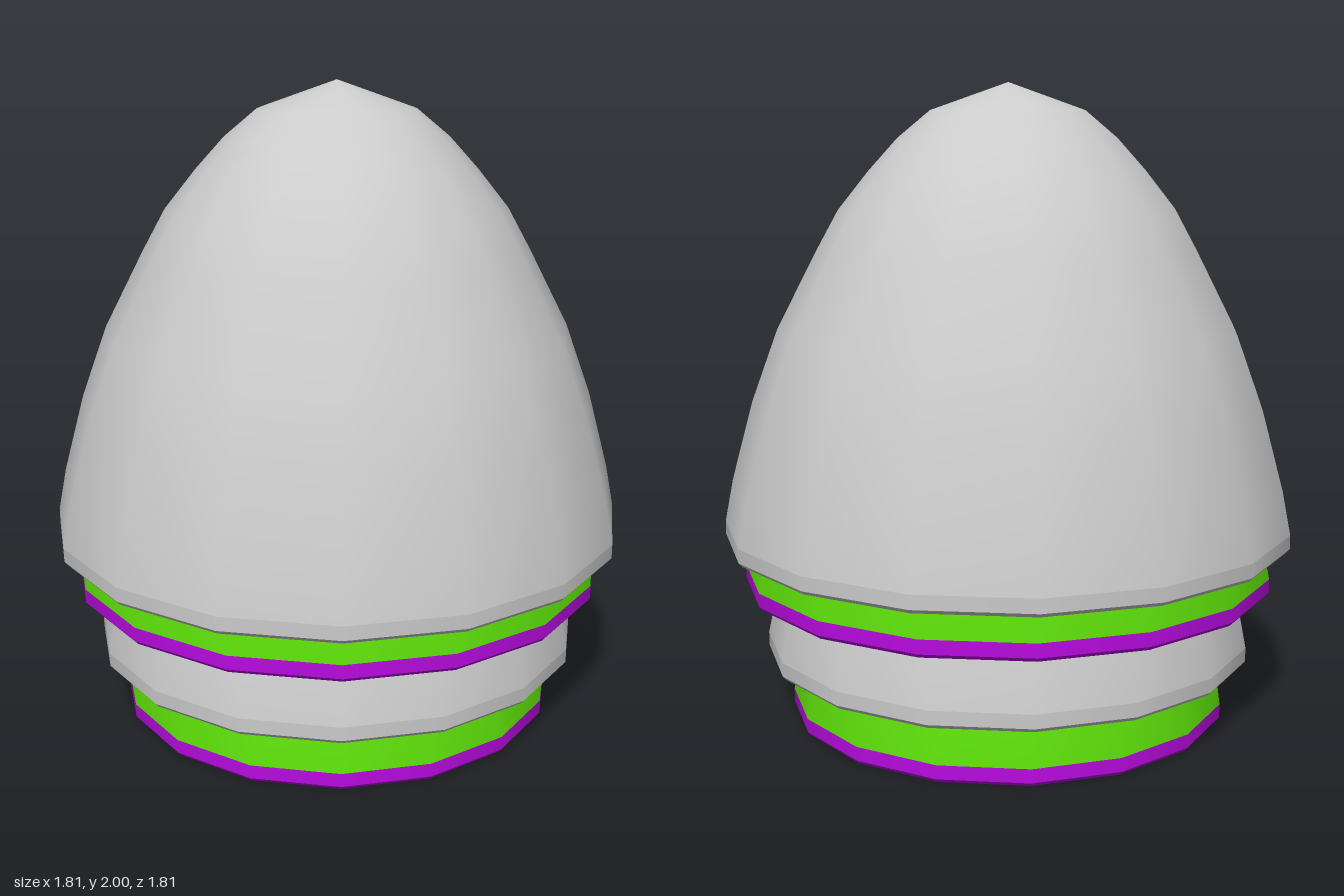
import * as THREE from 'three';

const SIDES = 16;
const WALL = 0.03;

// Dome curve from rim to apex: [radius, height], both as fractions of the full size
const DOME = [
  [1, 0.035], [0.97, 0.134], [0.895, 0.308], [0.803, 0.467], [0.667, 0.634],
  [0.586, 0.727], [0.48, 0.811], [0.38, 0.881], [0.268, 0.94], [0, 1],
];

// Nested shells, outermost first
const SHELLS = [
  { name: 'outerShell', radius: 0.907, base: 0.57, height: 1.43, banded: false },
  { name: 'secondShell', radius: 0.847, base: 0.425, height: 1.34, banded: true },
  { name: 'thirdShell', radius: 0.78, base: 0.195, height: 1.23, banded: false },
  { name: 'innerShell', radius: 0.703, base: 0, height: 1.11, banded: true },
];

function lathe(name, points, material) {
  const profile = points.map(([r, y]) => new THREE.Vector2(r, y));
  const mesh = new THREE.Mesh(new THREE.LatheGeometry(profile, SIDES), material);
  mesh.name = name;
  return mesh;
}

function makeShell({ name, radius, base, height, banded }, grey, green, purple) {
  const group = new THREE.Group();
  group.name = name;
  const body = banded ? green : grey;
  const trim = banded ? purple : grey;
  const lip = 0.012;
  const bandTop = base + 0.055;
  const innerBandTop = base + 0.03;
  const inner = radius - WALL;

  // Curved outer and inner walls
  const outside = DOME.map(([r, h]) => [r * radius, base + h * height]);
  outside[0][1] = bandTop;
  const inside = DOME.map(([r, h]) => [r * inner, base + h * (height - WALL)]).reverse();
  inside[inside.length - 1][1] = innerBandTop;
  group.add(lathe('outerWall', outside, body), lathe('innerWall', inside, body));

  // Straight band around the opening, outside and inside
  group.add(lathe('outerBand', [[radius, base + lip], [radius, bandTop]], trim));
  group.add(lathe('innerBand', [[inner, innerBandTop], [inner, base]], trim));

  // Chamfered lip and flat rim underneath
  group.add(lathe('lip', [[radius - 0.01, base], [radius, base + lip]], trim));
  group.add(lathe('rim', [[inner, base], [radius - 0.01, base]], body));
  return group;
}

export function createModel() {
  const grey = new THREE.MeshStandardMaterial({ color: 0xcccccc });
  const green = new THREE.MeshStandardMaterial({ color: 0x5cdb0a });
  const purple = new THREE.MeshStandardMaterial({ color: 0xb80be0 });
  const model = new THREE.Group();
  model.name = 'nestedDomes';
  for (const shell of SHELLS) model.add(makeShell(shell, grey, green, purple));
  return model;
}
